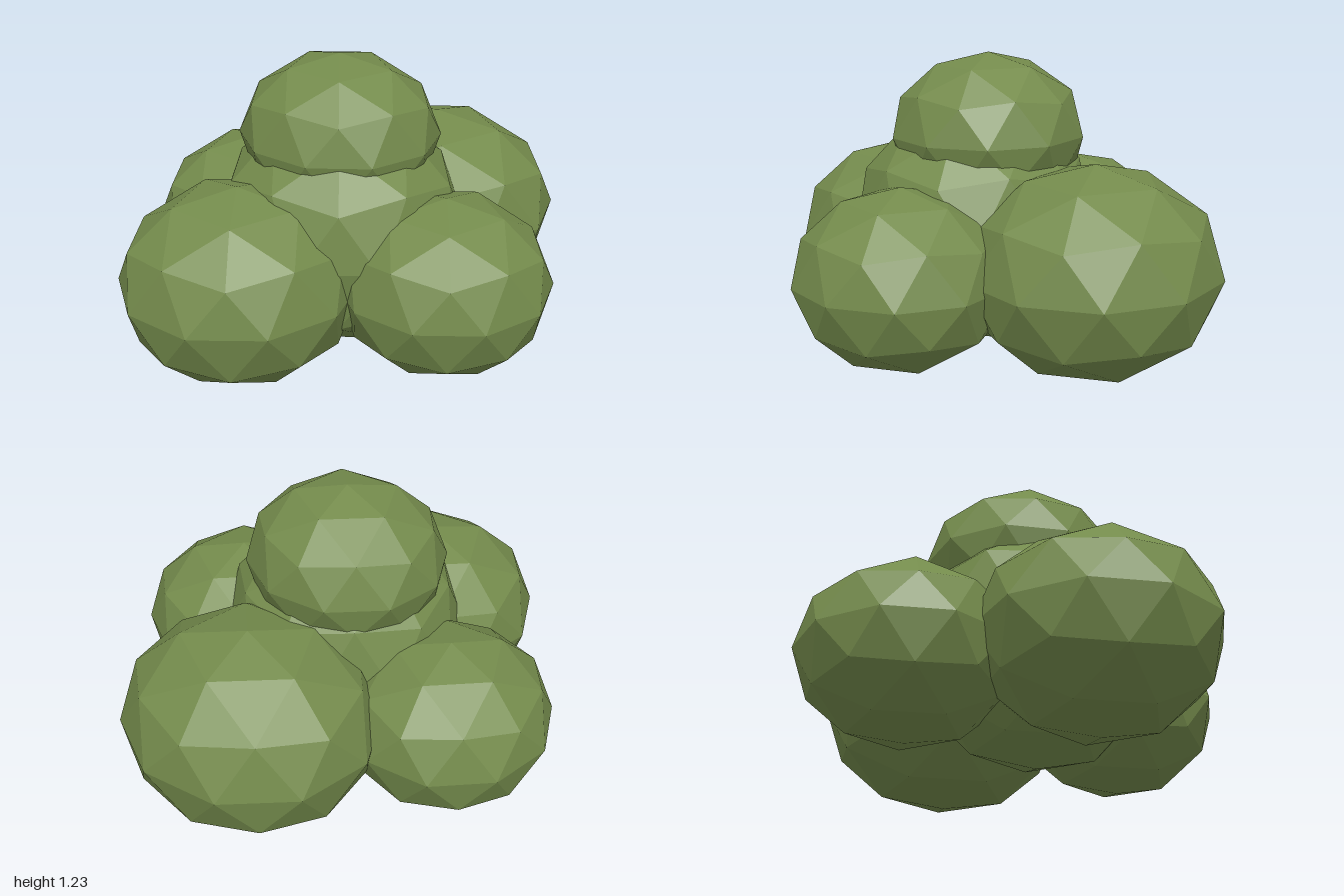
import * as THREE from 'three';

// Faceted ball with one corner straight up and a ten-sided equator
function ballGeometry() {
  const ball = new THREE.IcosahedronGeometry(1, 1);
  ball.rotateZ(-Math.atan(2 / (1 + Math.sqrt(5))));
  return ball;
}

export function createModel() {
  const group = new THREE.Group();
  group.name = 'bush';
  const leafGreen = new THREE.MeshStandardMaterial({ color: 0x748b4c, flatShading: true });
  leafGreen.name = 'leaf green';

  // Leaf clumps: name, centre, radii
  const clumps = [
    ['centreClump', [-0.08, 0.53, 0.03], [0.5, 0.5, 0.51]],
    ['topClump', [-0.04, 0.9, -0.005], [0.395, 0.33, 0.41]],
    ['leftClump', [0.525, 0.43, 0.09], [0.5, 0.42, 0.53]],
    ['rightClump', [-0.54, 0.405, -0.115], [0.484, 0.4, 0.48]],
    ['frontClump', [-0.07, 0.405, 0.53], [0.428, 0.36, 0.43]],
    ['backClump', [0.055, 0.38, -0.535], [0.437, 0.355, 0.43]],
  ];
  for (const [name, centre, radii] of clumps) {
    const geometry = ballGeometry().scale(...radii);
    geometry.computeVertexNormals();
    const clump = new THREE.Mesh(geometry, leafGreen);
    clump.name = name;
    clump.position.set(...centre);
    group.add(clump);
  }
  return group;
}
